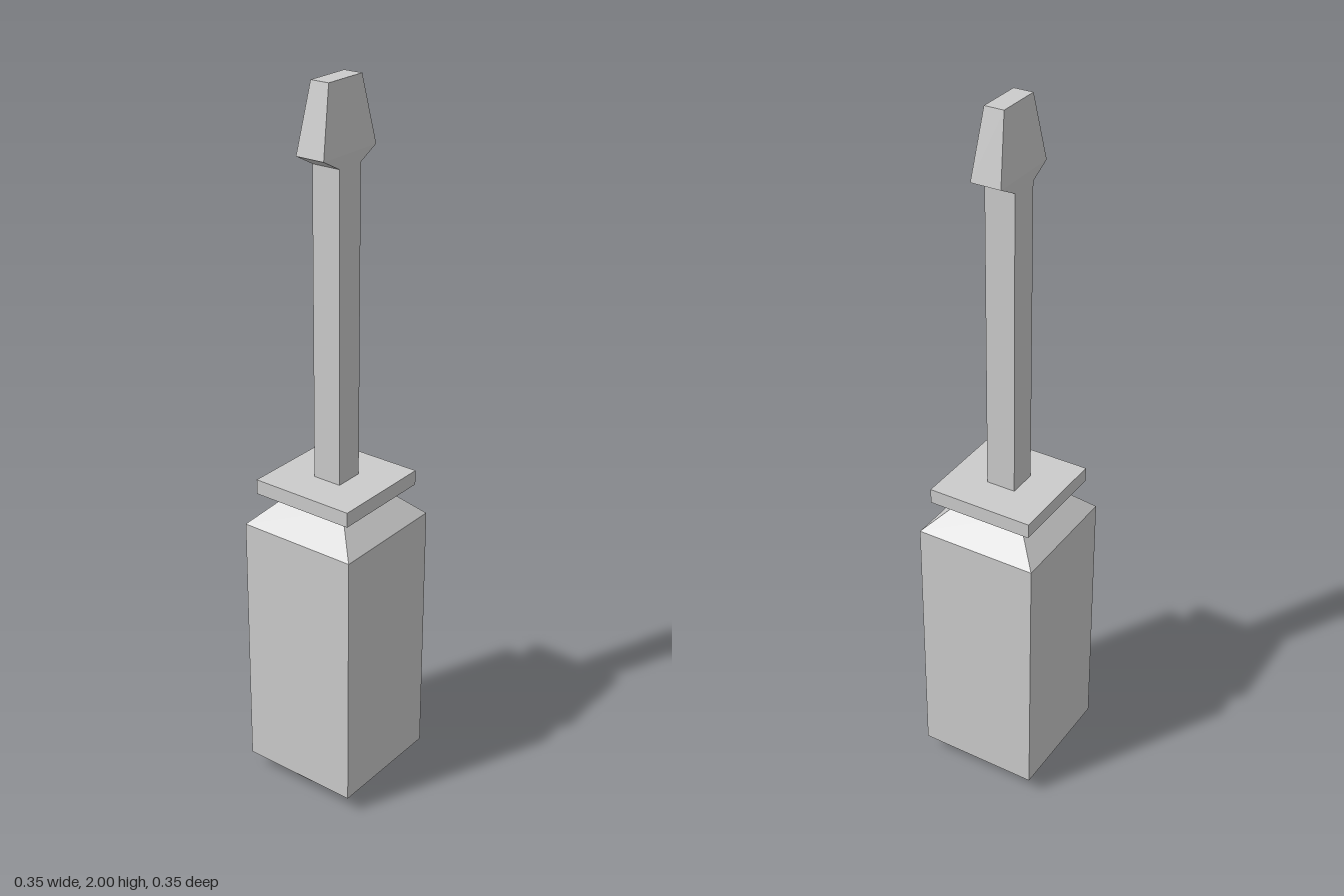
import * as THREE from 'three';

const material = new THREE.MeshStandardMaterial({ color: 0xcccccc, flatShading: true });

// Closed solid through rectangular sections [y, halfX, halfZ], listed bottom to top
function loftRects(name, sections) {
  const rings = sections.map(([y, hx, hz]) => [[hx, y, hz], [hx, y, -hz], [-hx, y, -hz], [-hx, y, hz]]);
  const positions = [];
  const quad = (a, b, c, d) => positions.push(...a, ...b, ...c, ...a, ...c, ...d);
  for (let i = 0; i < rings.length - 1; i++) {
    const low = rings[i], high = rings[i + 1];
    for (let k = 0; k < 4; k++) {
      const n = (k + 1) % 4;
      quad(low[k], low[n], high[n], high[k]);
    }
  }
  const bottom = rings[0], top = rings[rings.length - 1];
  quad(bottom[3], bottom[2], bottom[1], bottom[0]);
  quad(top[0], top[1], top[2], top[3]);

  const geometry = new THREE.BufferGeometry();
  geometry.setAttribute('position', new THREE.Float32BufferAttribute(positions, 3));
  geometry.computeVertexNormals();
  const mesh = new THREE.Mesh(geometry, material);
  mesh.name = name;
  return mesh;
}

export function createModel() {
  const group = new THREE.Group();
  group.name = 'screwdriver';

  // Square grip with a bevelled base and tapered shoulder
  group.add(loftRects('handle', [
    [0, 0.125, 0.125],
    [0.05, 0.174, 0.174],
    [0.805, 0.174, 0.174],
    [0.895, 0.083, 0.083],
  ]));

  // Square guard plate
  group.add(loftRects('collar', [[0.895, 0.151, 0.151], [0.937, 0.151, 0.151]]));

  // Square shaft flaring along z into a flat, tapered blade
  group.add(loftRects('shaftAndBlade', [
    [0.937, 0.042, 0.042],
    [1.79, 0.042, 0.042],
    [1.822, 0.042, 0.104],
    [2, 0.027, 0.065],
  ]));

  return group;
}
